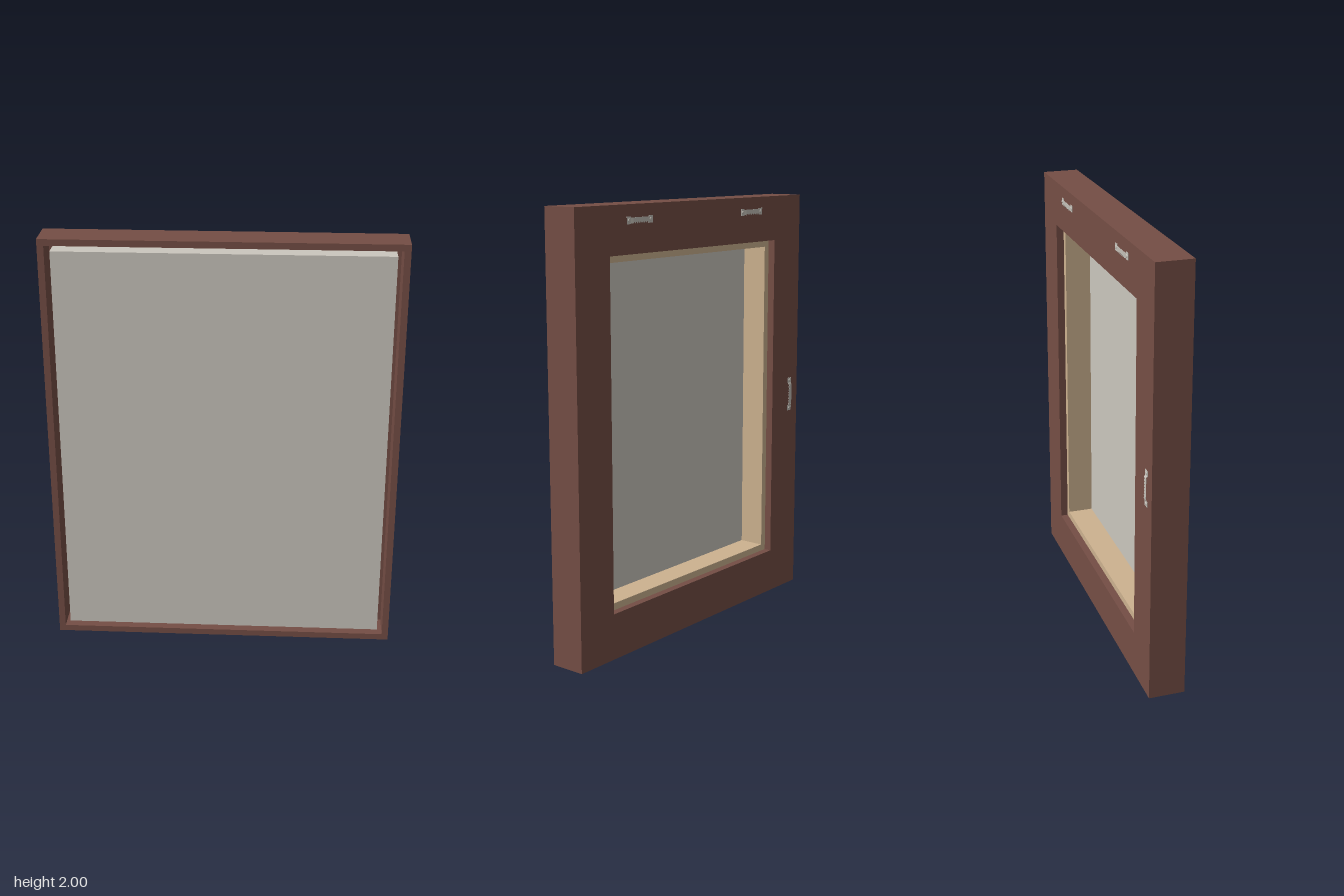
import * as THREE from 'three';

const mat = (name, color, side = THREE.FrontSide) => {
  const m = new THREE.MeshStandardMaterial({ color, side });
  m.name = name;
  return m;
};

// Rectangle outline centred on the origin
const rect = (Type, hw, hh) => {
  const p = new Type();
  p.moveTo(-hw, -hh);
  p.lineTo(hw, -hh);
  p.lineTo(hw, hh);
  p.lineTo(-hw, hh);
  p.closePath();
  return p;
};

// Rectangular ring between z0 and z1; w and h are the outer half sizes, b the border
function ring(name, w, h, b, z0, z1, material) {
  const shape = rect(THREE.Shape, w, h);
  shape.holes.push(rect(THREE.Path, w - b, h - b));
  const geo = new THREE.ExtrudeGeometry(shape, { depth: z1 - z0, bevelEnabled: false });
  const mesh = new THREE.Mesh(geo, material);
  mesh.name = name;
  mesh.position.set(0, 1, z0);
  return mesh;
}

// Sawtooth hanger, facing -z with its teeth pointing down
function makeHanger(name, metal) {
  const g = new THREE.Group();
  g.name = name;
  const add = (partName, geo, x, y, z) => {
    const m = new THREE.Mesh(geo, metal);
    m.name = partName;
    m.position.set(x, y, z);
    g.add(m);
    return m;
  };

  // Raised bridge with a toothed lower edge
  const half = 0.05, teeth = 7, step = (2 * half) / teeth;
  const s = new THREE.Shape();
  s.moveTo(half, 0.012);
  s.lineTo(-half, 0.012);
  for (let i = 0; i < teeth; i++) {
    s.lineTo(-half + i * step, -0.014);
    s.lineTo(-half + (i + 0.5) * step, -0.006);
  }
  s.lineTo(half, -0.014);
  s.closePath();
  add('bridge', new THREE.ExtrudeGeometry(s, { depth: 0.0015, bevelEnabled: false }), 0, 0, -0.007);

  for (const side of [-1, 1]) {
    // Sloping link, end tab and nail head
    const link = add('link', new THREE.BoxGeometry(0.012, 0.024, 0.0015), side * 0.0545, -0.001, -0.004);
    link.rotation.y = -side * 0.5;
    add('tab', new THREE.BoxGeometry(0.026, 0.032, 0.002), side * 0.071, 0, -0.001);
    const nail = add('nail', new THREE.CylinderGeometry(0.006, 0.008, 0.003, 12), side * 0.071, 0, -0.0035);
    nail.rotation.x = -Math.PI / 2;
  }
  return g;
}

export function createModel() {
  const model = new THREE.Group();
  model.name = 'framedPanel';
  const wood = mat('brown wood', 0x754e45);
  const canvas = mat('canvas', 0xcbc7be);
  const pine = mat('pale pine', 0xcdb28f);
  const metal = mat('metal', 0xc4c0b8, THREE.DoubleSide);

  const W = 0.81, H = 1, BACK = -0.08, FLOOR = -0.045, FRONT = 0.087;

  // Frame: a deep outer lip and a wide back border
  model.add(ring('frameLip', W, H, 0.03, FLOOR, FRONT, wood));
  model.add(ring('frameBack', W, H, 0.212, BACK, FLOOR, wood));

  // Stretched canvas floating inside the lip
  const cw = W - 0.055, ch = H - 0.055;
  const face = new THREE.Mesh(new THREE.BoxGeometry(2 * cw, 2 * ch, 0.006), canvas);
  face.name = 'canvasFace';
  face.position.set(0, 1, 0.081);
  model.add(face);
  model.add(ring('canvasSides', cw, ch, 0.005, FLOOR, 0.078, canvas));

  // Stretcher bars behind the canvas
  model.add(ring('stretcherBars', cw - 0.005, ch - 0.005, 0.184, FLOOR, 0.078, pine));

  // Two hangers along the top and one turned on its side
  const hangers = [
    ['leftHanger', 0.405, 1.932, 0],
    ['rightHanger', -0.405, 1.932, 0],
    ['sideHanger', -0.743, 1.005, Math.PI / 2],
  ];
  for (const [name, x, y, turn] of hangers) {
    const h = makeHanger(name, metal);
    h.position.set(x, y, BACK);
    h.rotation.z = turn;
    model.add(h);
  }
  return model;
}
